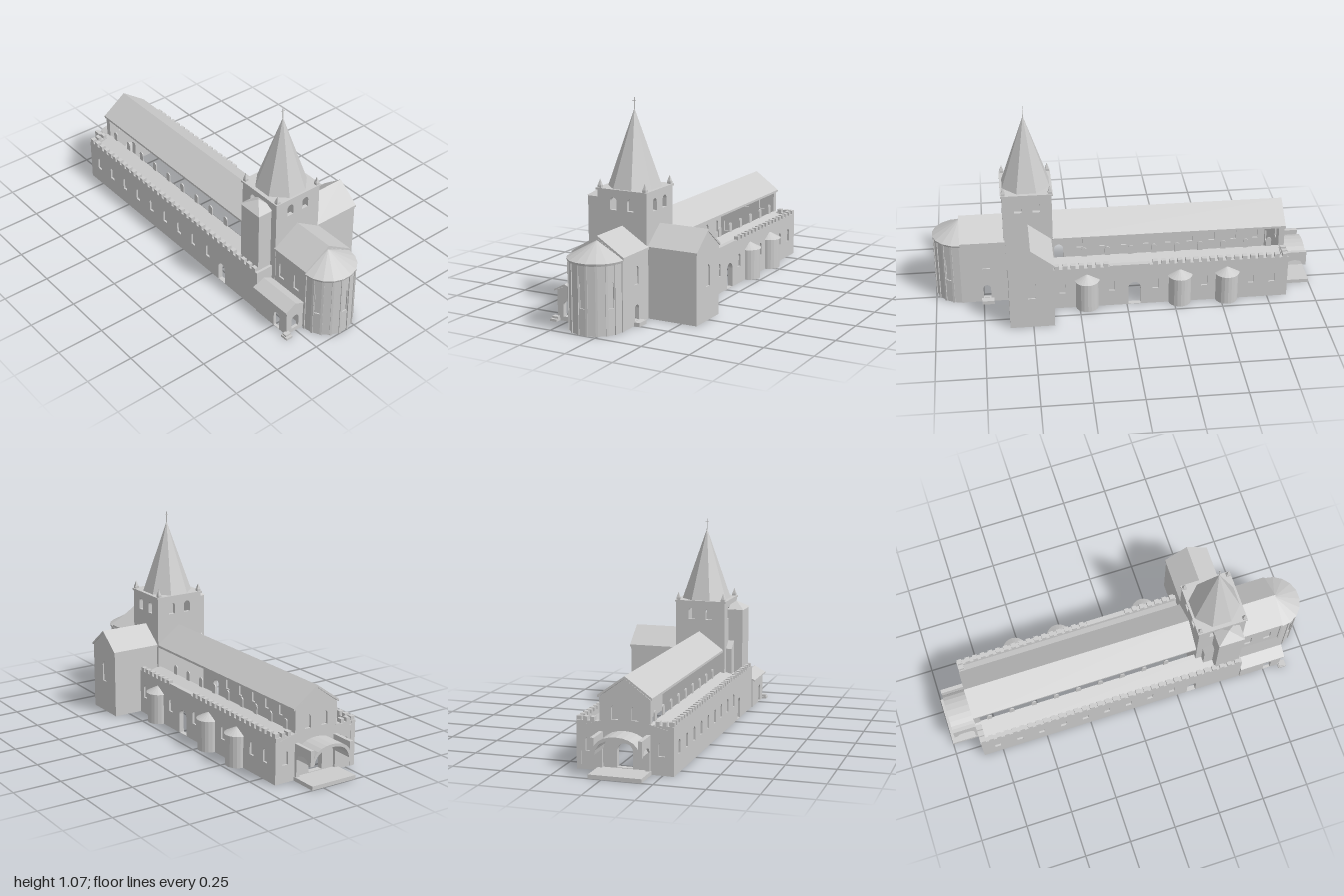
import * as THREE from 'three';

const mat = new THREE.MeshStandardMaterial({ color: 0xcccccc, flatShading: true, side: THREE.DoubleSide });

export function createModel() {
  const root = new THREE.Group();
  root.name = 'church';

  const add = (name, geo, x = 0, y = 0, z = 0, ry = 0, parent = root) => {
    const m = new THREE.Mesh(geo, mat);
    m.name = name;
    m.position.set(x, y, z);
    m.rotation.y = ry;
    parent.add(m);
    return m;
  };
  // box given by its min and max corners
  const box = (name, x0, x1, y0, y1, z0, z1) =>
    add(name, new THREE.BoxGeometry(x1 - x0, y1 - y0, z1 - z0), (x0 + x1) / 2, (y0 + y1) / 2, (z0 + z1) / 2);
  const poly = pts => new THREE.Shape(pts.map(p => new THREE.Vector2(...p)));
  const extrude = (shape, depth) => new THREE.ExtrudeGeometry(shape, { depth, bevelEnabled: false, curveSegments: 6 });
  // round-headed opening
  const arch = (Type, [cx, y0, w, top]) => {
    const r = w / 2, s = new Type();
    s.moveTo(cx - r, y0);
    s.lineTo(cx + r, y0);
    s.lineTo(cx + r, top - r);
    s.absarc(cx, top - r, r, 0, Math.PI, false);
    s.lineTo(cx - r, y0);
    return s;
  };
  // wall with round-headed windows (with panes) and open doors
  const wall = (name, pts, depth, pos, ry = 0, windows = [], doors = []) => {
    const g = new THREE.Group();
    g.name = name;
    g.position.set(...pos);
    g.rotation.y = ry;
    root.add(g);
    const s = poly(pts);
    [...windows, ...doors].forEach(o => s.holes.push(arch(THREE.Path, o)));
    add(name + 'Masonry', extrude(s, depth), 0, 0, 0, 0, g);
    windows.forEach(o => add('windowPane', extrude(arch(THREE.Shape, o), depth * 0.2), 0, 0, depth * 0.4, 0, g));
    return g;
  };
  const rect = (a, b, h, y0 = 0) => [[a, y0], [b, y0], [b, h], [a, h]];
  const gable = (a, b, eave, ridge) => [[a, 0], [b, 0], [b, eave], [(a + b) / 2, ridge], [a, eave]];
  const ALONG_Z = -Math.PI / 2; // local x becomes z, depth runs towards -x
  // pitched roof slab
  const roof = (name, a, b, eave, ridge, len, pos, ry, t = 0.012) => {
    const c = (a + b) / 2;
    return add(name, extrude(poly([[a, eave], [a, eave - t], [c, ridge - t], [b, eave - t], [b, eave], [c, ridge]]), len), ...pos, ry);
  };

  // --- aisles ---
  const bays = Array.from({ length: 9 }, (_, i) => -0.77 + i * 0.123);
  wall('southAisleWall', rect(-0.855, 0.61, 0.236), 0.025, [0, 0, 0.28], 0,
    bays.map(x => [x, 0.09, 0.032, 0.16]), [[0.33, 0.002, 0.05, 0.115]]);
  wall('northAisleWall', rect(-0.855, 0.39, 0.236), 0.025, [0, 0, -0.175], 0,
    [-0.77, -0.66, -0.41, -0.15, 0.08, 0.34].map(x => [x, 0.09, 0.032, 0.16]), [[-0.04, 0.002, 0.065, 0.135]]);
  wall('eastAisleWall', rect(0.2, 0.28, 0.236), 0.02, [0.61, 0, 0], ALONG_Z);
  const aisleRoof = (name, len, zIn, zOut) =>
    add(name, extrude(poly([[zIn, 0.24], [zOut, 0.215], [zOut, 0.207], [zIn, 0.232]]), len), -0.855 + len, 0, 0, ALONG_Z);
  aisleRoof('southAisleRoof', 1.46, 0.185, 0.285);
  aisleRoof('northAisleRoof', 1.24, -0.055, -0.155);

  // battlements
  for (let i = 0; i < 34; i++) {
    const x = -0.85 + i * 0.043;
    box('southMerlon', x, x + 0.025, 0.236, 0.256, 0.28, 0.305);
    if (x < 0.36 && (x < -0.14 || x > 0.08)) box('northMerlon', x, x + 0.025, 0.236, 0.256, -0.175, -0.15);
  }
  box('northParapet', -0.12, 0.09, 0.236, 0.243, -0.175, -0.15);
  [-0.14, -0.105, 0.215, 0.25].forEach(z => box('westMerlon', -0.855, -0.825, 0.236, 0.256, z, z + 0.02));

  // --- nave ---
  wall('westFront', [[-0.175, 0], [0.305, 0], [0.305, 0.236], [0.19, 0.236], [0.19, 0.355], [0.065, 0.447], [-0.06, 0.355], [-0.06, 0.236], [-0.175, 0.236]],
    0.03, [-0.823, 0, 0], ALONG_Z,
    [[0.015, 0.25, 0.035, 0.32], [0.115, 0.25, 0.035, 0.32], [-0.115, 0.09, 0.032, 0.16], [0.245, 0.09, 0.032, 0.16]],
    [[0.065, 0.022, 0.08, 0.14]]);
  roof('naveRoof', -0.07, 0.2, 0.363, 0.46, 1.235, [0.38, 0, 0], ALONG_Z);
  bays.forEach(x => [0.184, -0.06].forEach(z =>
    add('clerestoryWindow', extrude(arch(THREE.Shape, [x, 0.225, 0.028, 0.29]), 0.006), 0, 0, z)));

  // chapels on the north side
  [-0.53, -0.28, 0.21].forEach(x => {
    add('chapelWall', new THREE.CylinderGeometry(0.06, 0.06, 0.165, 10, 1, true, Math.PI / 2, Math.PI), x, 0.0825, -0.17);
    add('chapelRoof', new THREE.ConeGeometry(0.066, 0.035, 10, 1, true, Math.PI / 2, Math.PI), x, 0.1825, -0.17);
  });

  // --- west porch ---
  box('porchPlatform', -1, -0.855, 0, 0.02, -0.065, 0.195);
  const vault = new THREE.Shape();
  vault.moveTo(0.185, 0.11);
  vault.quadraticCurveTo(0.175, 0.198, 0.065, 0.2);
  vault.quadraticCurveTo(-0.045, 0.198, -0.055, 0.11);
  vault.lineTo(-0.04, 0.11);
  vault.quadraticCurveTo(-0.03, 0.183, 0.065, 0.185);
  vault.quadraticCurveTo(0.16, 0.183, 0.17, 0.11);
  add('porchVault', extrude(vault, 0.125), -0.855, 0, 0, ALONG_Z);
  [-0.062, 0.172].forEach(z => {
    const s = poly([[-0.98, 0.11], [-0.965, 0.11], [-0.95, 0.135], [-0.92, 0.143], [-0.885, 0.135], [-0.87, 0.11], [-0.87, 0.02], [-0.855, 0.02], [-0.855, 0.19], [-0.98, 0.19]]);
    add('porchSideArch', extrude(s, 0.02), 0, 0, z);
  });

  // --- crossing tower ---
  const TX = 0.505, TZ = 0.07, hx = 0.128, hz = 0.138;
  const bells = c => [c - 0.048, c + 0.048].map(u => [u, 0.525, 0.038, 0.587]);
  [TZ - hz, TZ + hz - 0.02].forEach(z => wall('towerWall', rect(TX - hx, TX + hx, 0.62), 0.02, [0, 0, z], 0, [], bells(TX)));
  [TX - hx + 0.02, TX + hx].forEach(x => wall('towerWall', rect(TZ - hz, TZ + hz, 0.62), 0.02, [x, 0, 0], ALONG_Z, [], bells(TZ)));
  box('towerCornice', TX - 0.135, TX + 0.135, 0.618, 0.628, TZ - 0.143, TZ + 0.143);
  add('spire', new THREE.ConeGeometry(0.133, 0.382, 8), TX, 0.819, TZ, Math.PI / 8);
  box('finialPole', TX - 0.0015, TX + 0.0015, 1, 1.065, TZ - 0.0015, TZ + 0.0015);
  box('finialCrossbar', TX - 0.0015, TX + 0.0015, 1.045, 1.048, TZ - 0.009, TZ + 0.009);
  for (const sx of [-1, 1]) for (const sz of [-1, 1]) {
    const x = TX + sx * 0.12, z = TZ + sz * 0.126;
    box('pinnacleBase', x - 0.01, x + 0.01, 0.628, 0.64, z - 0.01, z + 0.01);
    add('pinnacle', new THREE.ConeGeometry(0.014, 0.034, 4), x, 0.655, z, Math.PI / 4);
  }

  // stair turret on the south side
  box('stairTurret', 0.462, 0.596, 0, 0.577, 0.19, 0.286);
  const cap = new THREE.ConeGeometry(Math.SQRT1_2, 1, 4, 1);
  cap.rotateY(Math.PI / 4).scale(0.142, 0.04, 0.114);
  add('turretRoof', cap, 0.53, 0.595, 0.234);
  add('turretLeanTo', extrude(poly([[0.41, 0.2], [0.465, 0.2], [0.465, 0.405], [0.41, 0.365]]), 0.04), 0, 0, 0.2);

  // --- north transept ---
  wall('transeptEnd', gable(0.39, 0.62, 0.355, 0.445), 0.02, [0, 0, -0.333], 0, [[0.505, 0.17, 0.04, 0.28]]);
  [0.41, 0.62].forEach(x => wall('transeptSide', rect(-0.333, -0.06, 0.355), 0.02, [x, 0, 0], ALONG_Z));
  roof('transeptRoof', 0.385, 0.625, 0.362, 0.456, 0.27, [0, 0, -0.338], 0);

  // --- choir ---
  const AX = 0.86, R = 0.142;
  wall('choirSouthWall', rect(0.62, AX, 0.355), 0.02, [0, 0, 0.185], 0, [0.68, 0.79].map(x => [x, 0.2, 0.038, 0.292]));
  wall('choirNorthWall', rect(0.62, AX, 0.355), 0.02, [0, 0, -0.068], 0, [[0.73, 0.2, 0.038, 0.292]], [[0.73, 0.022, 0.04, 0.1]]);
  box('northDoorStep', 0.695, 0.76, 0, 0.02, -0.1, -0.06);
  wall('choirGable', gable(-0.065, 0.205, 0.355, 0.44), 0.02, [AX, 0, 0], ALONG_Z, [], [[TZ, 0.002, 0.22, 0.3]]);
  roof('choirRoof', -0.077, 0.213, 0.362, 0.453, 0.235, [AX + 0.002, 0, 0], ALONG_Z);

  // apse of nine bays divided by pilaster strips
  const step = Math.PI / 9, half = (R - 0.004) * Math.sin(step / 2), apo = (R - 0.004) * Math.cos(step / 2);
  for (let i = 0; i <= 9; i++) {
    const b = -Math.PI / 2 + i * step, a = b + step / 2, d = apo - 0.016;
    add('apsePilaster', new THREE.BoxGeometry(0.011, 0.345, 0.016), AX + (R - 0.008) * Math.cos(b), 0.1725, TZ + (R - 0.008) * Math.sin(b), Math.PI / 2 - b);
    if (i < 9) wall('apseBay', rect(-half, half, 0.345), 0.016, [AX + d * Math.cos(a), 0, TZ + d * Math.sin(a)], Math.PI / 2 - a,
      i % 3 === 1 ? [[0, 0.13, 0.028, 0.26]] : []);
  }
  add('apseCornice', new THREE.CylinderGeometry(0.146, 0.142, 0.012, 9, 1, true, 0, Math.PI), AX, 0.345, TZ);
  add('apseRoof', new THREE.ConeGeometry(0.146, 0.08, 9, 1, true, 0, Math.PI), AX, 0.391, TZ);

  // --- south annex ---
  wall('annexFront', rect(0.612, 0.845, 0.155), 0.015, [0, 0, 0.295], 0, [], [[0.77, 0.002, 0.042, 0.095]]);
  [0.627, 0.845].forEach((x, i) => wall('annexEnd', [[0.2, 0], [0.305, 0], [0.305, 0.155], [0.262, 0.178], [0.2, 0.155]], 0.015, [x, 0, 0], ALONG_Z,
    [], i ? [[0.255, 0.022, 0.045, 0.1]] : []));
  add('annexRoof', extrude(poly([[0.324, 0.155], [0.262, 0.188], [0.2, 0.155], [0.2, 0.147], [0.262, 0.178], [0.324, 0.147]]), 0.25), 0.855, 0, 0, ALONG_Z);
  box('annexStep', 0.835, 0.878, 0, 0.012, 0.297, 0.335);
  box('annexStepTop', 0.84, 0.865, 0.012, 0.022, 0.297, 0.33);

  return root;
}
